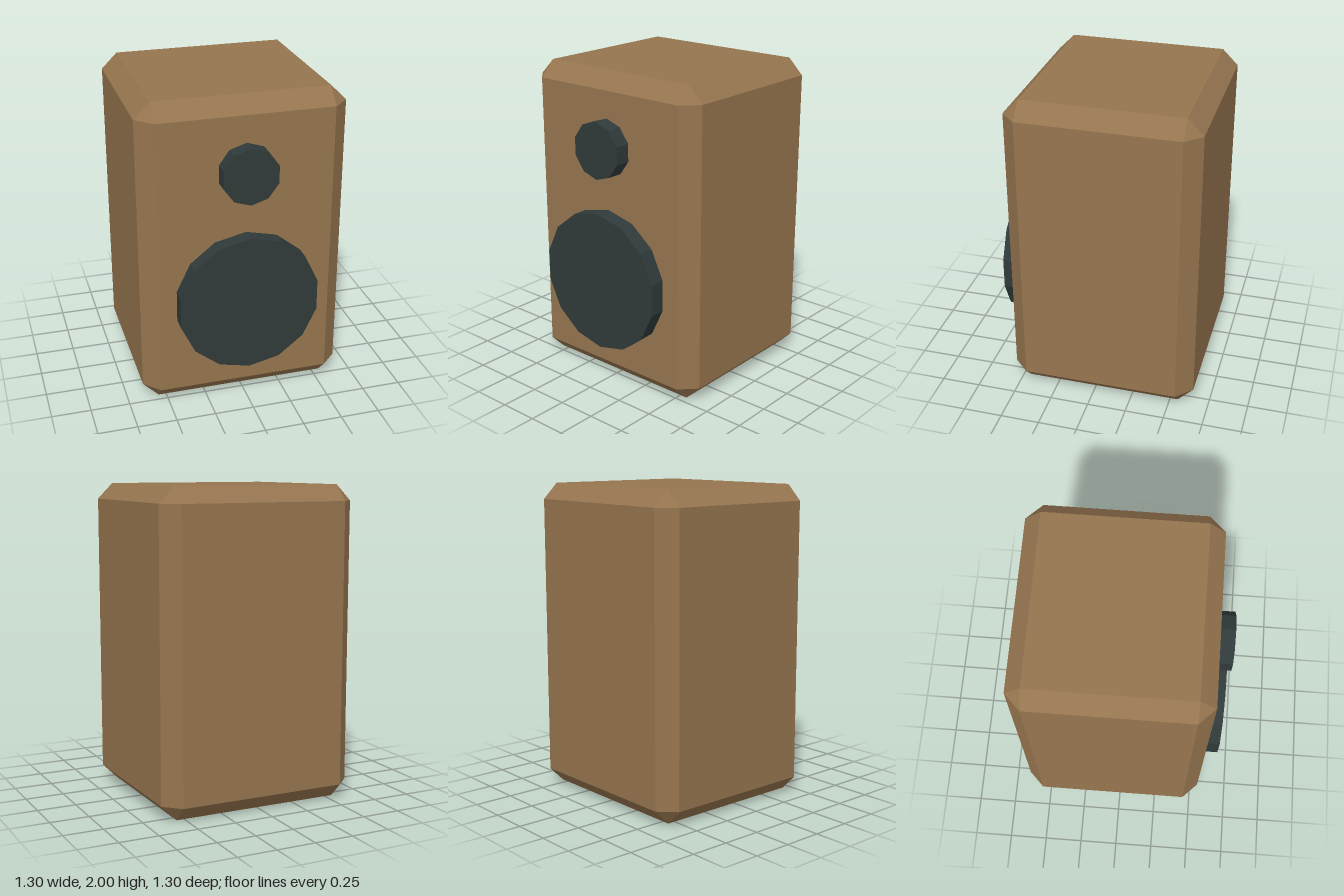
import * as THREE from 'three';
import { ConvexGeometry } from 'three/addons/geometries/ConvexGeometry.js';

// Box with flat chamfers on every edge and a triangle on every corner
function chamferedBox(w, h, d, c) {
  const points = [];
  for (const sx of [-1, 1]) for (const sy of [-1, 1]) for (const sz of [-1, 1]) {
    const x = w / 2, y = h / 2, z = d / 2;
    points.push(
      new THREE.Vector3(sx * x, sy * (y - c), sz * (z - c)),
      new THREE.Vector3(sx * (x - c), sy * y, sz * (z - c)),
      new THREE.Vector3(sx * (x - c), sy * (y - c), sz * z)
    );
  }
  return new ConvexGeometry(points);
}

export function createModel() {
  const model = new THREE.Group();
  model.name = 'loudspeaker';
  const wood = new THREE.MeshStandardMaterial({ name: 'brown wood', color: 0x96754f, flatShading: true });
  const cone = new THREE.MeshStandardMaterial({ name: 'dark slate', color: 0x303a3a, flatShading: true });

  // Cabinet
  const cabinet = new THREE.Mesh(chamferedBox(1.3, 2, 1.2, 0.1), wood);
  cabinet.name = 'cabinet';
  cabinet.position.set(0, 1, -0.05);
  model.add(cabinet);

  // Drivers: discs standing out from the front panel
  const addDriver = (name, radius, sides, y) => {
    const geometry = new THREE.CylinderGeometry(radius, radius, 0.12, sides).rotateX(Math.PI / 2);
    const driver = new THREE.Mesh(geometry, cone);
    driver.name = name;
    driver.position.set(0, y, 0.59);
    model.add(driver);
  };
  addDriver('woofer', 0.45, 14, 0.7);
  addDriver('tweeter', 0.18, 10, 1.55);

  return model;
}
